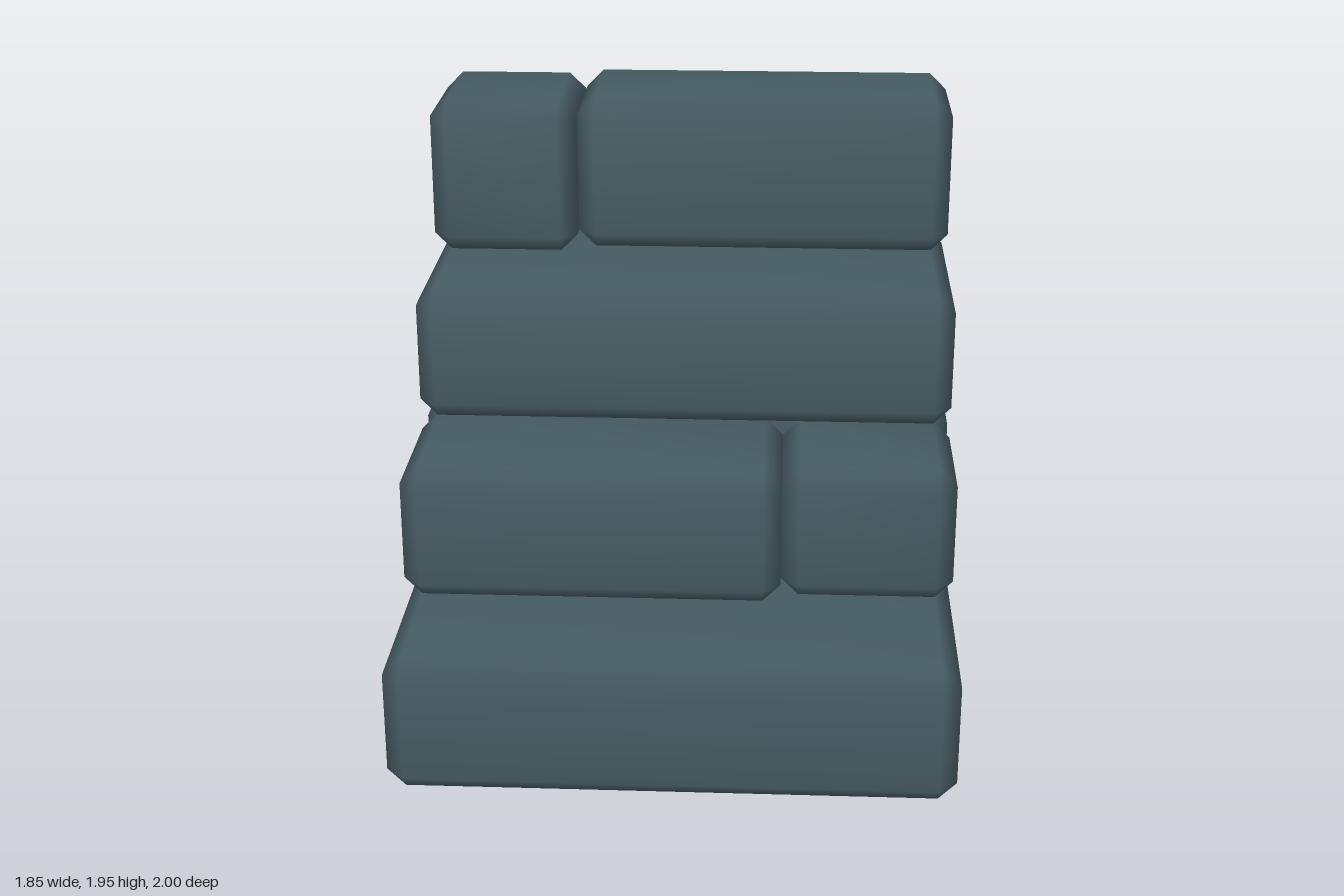
import * as THREE from 'three';
import { mergeVertices } from 'three/addons/utils/BufferGeometryUtils.js';
import { ConvexGeometry } from 'three/addons/geometries/ConvexGeometry.js';

const BEVEL = 0.06;

// Box with a single soft-shaded chamfer: each corner becomes three points.
function bevelledBox(w, h, d) {
  const half = [w / 2, h / 2, d / 2];
  const points = [];
  for (const sx of [-1, 1]) for (const sy of [-1, 1]) for (const sz of [-1, 1]) {
    const signs = [sx, sy, sz];
    for (let axis = 0; axis < 3; axis++) {
      const p = signs.map((s, i) => s * (half[i] - (i === axis ? 0 : BEVEL)));
      points.push(new THREE.Vector3(...p));
    }
  }
  const hull = new ConvexGeometry(points);
  hull.deleteAttribute('normal');
  const geometry = mergeVertices(hull, 1e-4);
  geometry.computeVertexNormals();
  return geometry;
}

export function createModel() {
  const model = new THREE.Group();
  model.name = 'stoneSteps';
  const slate = new THREE.MeshStandardMaterial({ color: 0x455a62 });
  slate.name = 'slate';

  // Each block: name, x range, y range, z range
  const blocks = [
    ['bottomStep', [-0.925, 0.925], [0, 0.465], [-0.13, 1]],
    ['rearBase', [-0.925, 0.925], [0, 0.93], [-0.85, -0.07]],
    ['secondStepRight', [-0.925, 0.345], [0.465, 0.93], [-0.07, 0.535]],
    ['secondStepLeft', [0.345, 0.925], [0.465, 0.93], [-0.07, 0.48]],
    ['thirdStep', [-0.925, 0.925], [0.93, 1.395], [-0.85, 0.07]],
    ['topStepRight', [-0.925, -0.407], [1.395, 1.945], [-0.945, -0.39]],
    ['topStepLeft', [-0.407, 0.925], [1.395, 1.945], [-1, -0.45]],
  ];
  for (const [name, ...ranges] of blocks) {
    const size = ranges.map(([a, b]) => b - a);
    const centre = ranges.map(([a, b]) => (a + b) / 2);
    const mesh = new THREE.Mesh(bevelledBox(...size), slate);
    mesh.name = name;
    mesh.position.set(...centre);
    model.add(mesh);
  }
  return model;
}
